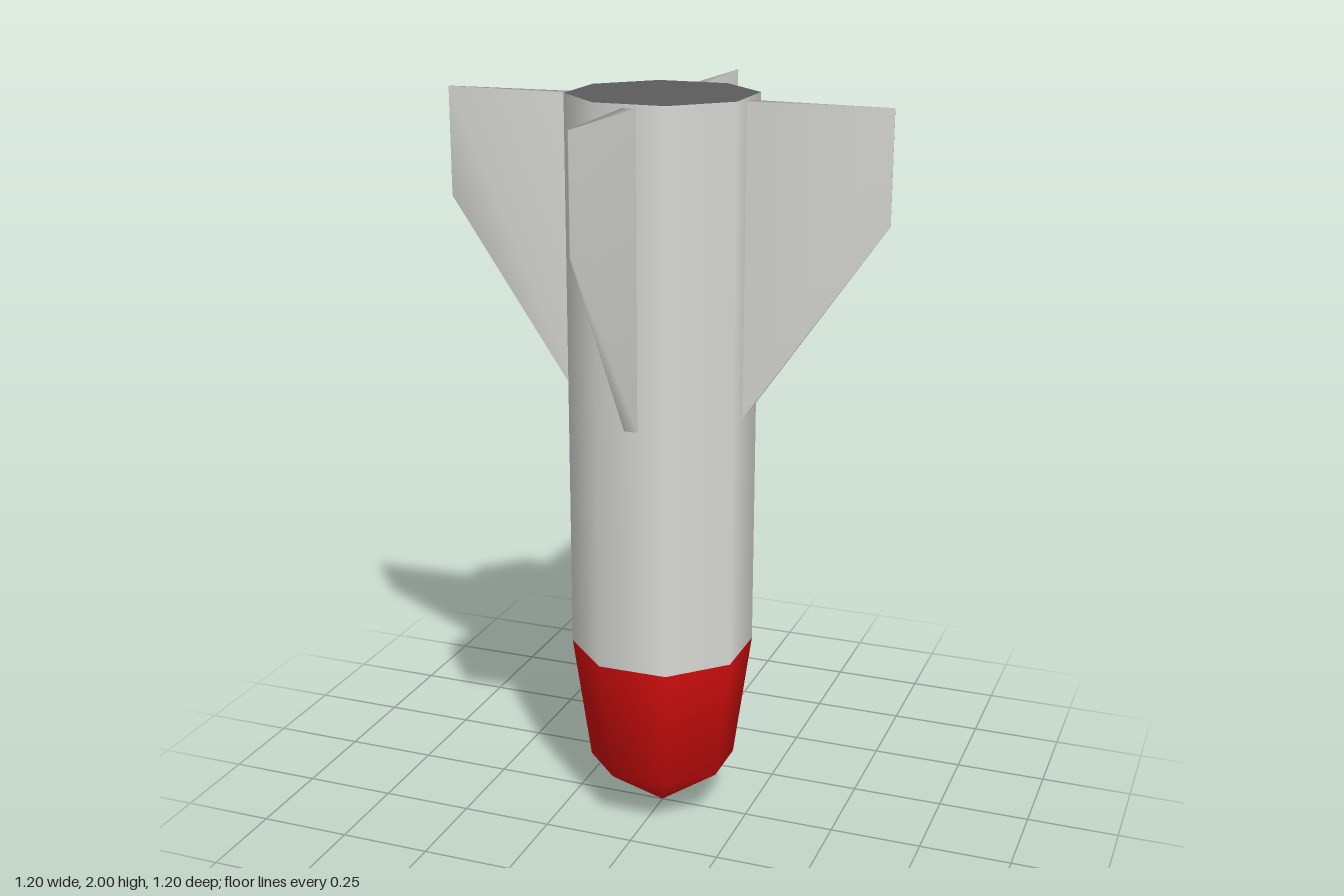
import * as THREE from 'three';

const APOTHEM = 0.23;
const toCorner = 1 / Math.cos(Math.PI / 8); // flat-to-corner ratio of an octagon

const hullGrey = new THREE.MeshStandardMaterial({ color: 0xdadad6 });
hullGrey.name = 'hullGrey';
const noseRed = new THREE.MeshStandardMaterial({ color: 0xdc0f0f });
noseRed.name = 'noseRed';
const tailGrey = new THREE.MeshStandardMaterial({ color: 0x5c5c5c });
tailGrey.name = 'tailGrey';

function addPart(group, name, geometry, material) {
  const mesh = new THREE.Mesh(geometry, material);
  mesh.name = name;
  group.add(mesh);
  return mesh;
}

// Eight-sided solid with flats facing the axes; profile is [apothem, y] from bottom to top
function octagonLathe(profile) {
  const points = profile.map(([r, y]) => new THREE.Vector2(r * toCorner, y));
  return new THREE.LatheGeometry(points, 8).rotateY(Math.PI / 8);
}

// Swept fin along +x, thick at the root and thinning to a blade at the tip
function finGeometry() {
  const outline = [[0.215, 1.15, 0.019], [0.6, 1.7, 0.001], [0.6, 1.99, 0.001], [0.215, 1.99, 0.019]];
  const positions = [];
  for (const side of [1, -1]) {
    for (const [x, y, half] of outline) positions.push(x, y, side * half);
  }
  const index = [0, 1, 2, 0, 2, 3, 4, 6, 5, 4, 7, 6];
  for (let i = 0; i < 4; i++) {
    const j = (i + 1) % 4;
    index.push(i, i + 4, j + 4, i, j + 4, j);
  }
  const geometry = new THREE.BufferGeometry();
  geometry.setAttribute('position', new THREE.Float32BufferAttribute(positions, 3));
  geometry.setIndex(index);
  geometry.computeVertexNormals();
  return geometry;
}

export function createModel() {
  const model = new THREE.Group();
  model.name = 'finnedBomb';

  // Body, pointed nose and flat tail plate
  addPart(model, 'body', octagonLathe([[APOTHEM, 0.5], [APOTHEM, 2]]), hullGrey);
  addPart(model, 'nose', octagonLathe([[0, 0], [0.185, 0.15], [APOTHEM, 0.5]]), noseRed);
  const plate = new THREE.CircleGeometry(APOTHEM * toCorner, 8, Math.PI / 8).rotateX(-Math.PI / 2);
  addPart(model, 'tailPlate', plate, tailGrey).position.y = 2;

  // Four tail fins around the body
  const fin = finGeometry();
  ['leftFin', 'backFin', 'rightFin', 'frontFin'].forEach((name, i) => {
    addPart(model, name, fin, hullGrey).rotation.y = i * Math.PI / 2;
  });

  return model;
}
